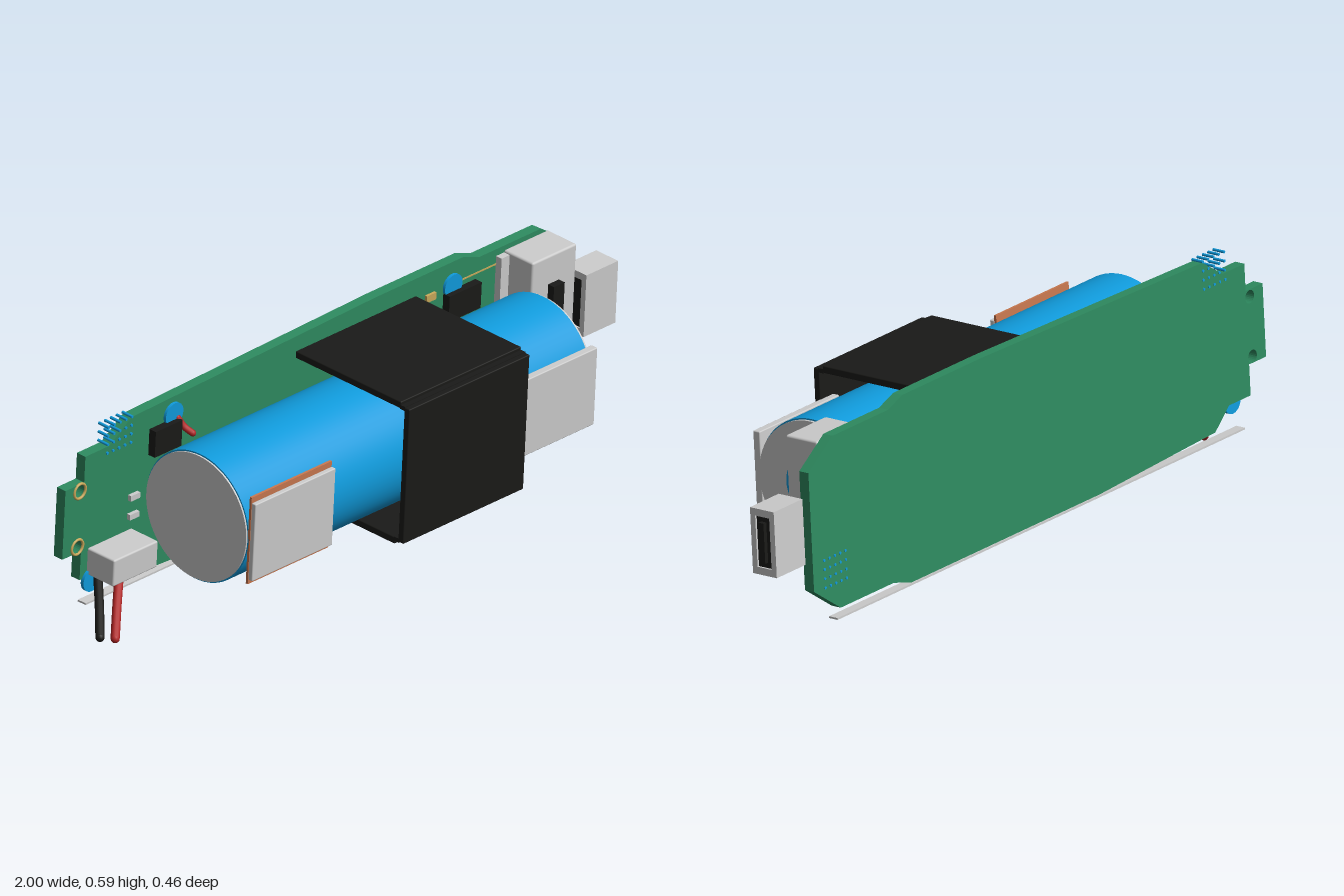
import * as THREE from 'three';
import { RoundedBoxGeometry } from 'three/addons/geometries/RoundedBoxGeometry.js';

const mat = (color) => new THREE.MeshStandardMaterial({ color });
const GREY = mat(0xcccccc), GREEN = mat(0x2e8b60), BLUE = mat(0x109bdc), BLACK = mat(0x1a1a18);
const RED = mat(0xb02525), COPPER = mat(0xc87850), GOLD = mat(0xc8a85a);
const BOARD_FRONT = -0.185;

function add(parent, name, geometry, material, x = 0, y = 0, z = 0) {
  const mesh = new THREE.Mesh(geometry, material);
  mesh.name = name;
  mesh.position.set(x, y, z);
  parent.add(mesh);
  return mesh;
}

// Box given by its minimum and maximum corners
function box(parent, name, material, a, b, radius = 0) {
  const s = b.map((v, i) => v - a[i]);
  const c = b.map((v, i) => (v + a[i]) / 2);
  const geo = radius ? new RoundedBoxGeometry(...s, 2, radius) : new THREE.BoxGeometry(...s);
  return add(parent, name, geo, material, ...c);
}

// Cylinder whose axis runs along z
function disc(parent, name, material, r, depth, x, y, z, sides = 24) {
  const geo = new THREE.CylinderGeometry(r, r, depth, sides).rotateX(Math.PI / 2);
  return add(parent, name, geo, material, x, y, z);
}

// Round wire with closed, rounded ends
function wire(parent, name, material, r, points) {
  const pts = points.map((p) => new THREE.Vector3(...p));
  add(parent, name, new THREE.TubeGeometry(new THREE.CatmullRomCurve3(pts), 16, r, 12), material);
  for (const p of [pts[0], pts[pts.length - 1]])
    add(parent, name + 'End', new THREE.SphereGeometry(r, 12, 8), material, p.x, p.y, p.z);
}

function makeBoard(parent) {
  // Circuit board outline with stepped left end and chamfered right end
  const outline = [
    [-1, -0.095], [-0.93, -0.095], [-0.93, -0.18], [-0.84, -0.18], [-0.78, -0.235], [-0.3, -0.256],
    [0.48, -0.256], [0.55, -0.235], [0.77, -0.235], [0.875, -0.16], [0.875, 0.165], [0.77, 0.235],
    [0.54, 0.235], [0.48, 0.257], [0.15, 0.257], [-0.76, 0.235], [-0.84, 0.18], [-0.93, 0.18],
    [-0.93, 0.105], [-1, 0.105],
  ];
  const shape = new THREE.Shape(outline.map((p) => new THREE.Vector2(...p)));
  for (const y of [0.085, -0.078]) {
    // Mounting holes with plated rims
    shape.holes.push(new THREE.Path().absarc(-0.945, y, 0.018, 0, Math.PI * 2, true));
    add(parent, 'mountingRim', new THREE.TorusGeometry(0.021, 0.004, 8, 24), GOLD, -0.945, y, BOARD_FRONT);
  }
  const geo = new THREE.ExtrudeGeometry(shape, { depth: 0.03, bevelEnabled: false, curveSegments: 12 });
  add(parent, 'circuitBoard', geo, GREEN, 0, 0, -0.215);

  // Thin strip along the lower edge
  box(parent, 'edgeStrip', GREY, [-0.9, -0.264, -0.215], [0.785, -0.259, -0.187]);

  // Pin grids
  for (const [cx, cy] of [[-0.805, 0.2], [0.785, -0.125]])
    for (let i = 0; i < 5; i++)
      for (let j = 0; j < 4; j++)
        disc(parent, 'pin', BLUE, 0.004, 0.036, cx + (i - 2) * 0.022, cy + (j - 1.5) * 0.025, -0.199, 8);

  // Solder pads
  for (const [x, y] of [[-0.605, 0.19], [0.44, 0.19], [-0.89, -0.19], [-0.79, -0.195]])
    disc(parent, 'solderPad', BLUE, 0.033, 0.01, x, y, BOARD_FRONT + 0.003);

  // Small surface-mounted parts
  for (const y of [0.0, -0.055])
    box(parent, 'resistor', GREY, [-0.76, y - 0.008, -0.187], [-0.725, y + 0.008, -0.174]);
  box(parent, 'resistor', GOLD, [0.34, 0.175, -0.187], [0.375, 0.195, -0.177]);
  box(parent, 'resistor', GOLD, [-0.105, -0.238, -0.187], [-0.06, -0.218, -0.177]);
  box(parent, 'trace', GOLD, [0.47, 0.19, -0.187], [0.63, 0.194, -0.183]);
  for (let i = 0; i < 5; i++)
    box(parent, 'portPad', GOLD, [0.845, -0.06 + i * 0.03 - 0.004, -0.187], [0.875, -0.06 + i * 0.03 + 0.004, -0.181]);

  // Chips behind the cell
  box(parent, 'chip', BLACK, [-0.69, 0.1, -0.187], [-0.59, 0.175, -0.162]);
  box(parent, 'chip', BLACK, [0.41, 0.1, -0.187], [0.53, 0.175, -0.162]);
  box(parent, 'chip', BLACK, [0.41, -0.155, -0.187], [0.53, -0.09, -0.16]);
  box(parent, 'chipPad', GOLD, [0.53, -0.15, -0.187], [0.545, -0.13, -0.174]);
}

function makeConnectors(parent) {
  // Slide switch
  box(parent, 'switchBody', GREY, [0.635, -0.04, -0.187], [0.8, 0.222, -0.083], 0.006);
  box(parent, 'switchFoot', GREY, [0.605, -0.05, -0.187], [0.635, 0.215, -0.165]);
  box(parent, 'switchKnob', BLACK, [0.697, 0.035, -0.085], [0.737, 0.14, -0.062]);

  // Wire socket
  box(parent, 'wireSocket', GREY, [-0.905, -0.172, -0.187], [-0.74, -0.095, -0.09], 0.005);

  // Charging port: hollow shell with a dark insert
  const shell = new THREE.Shape([[-0.039, -0.09], [0.039, -0.09], [0.039, 0.09], [-0.039, 0.09]]
    .map((p) => new THREE.Vector2(...p)));
  shell.holes.push(new THREE.Path([[-0.023, -0.07], [-0.023, 0.07], [0.023, 0.07], [0.023, -0.07]]
    .map((p) => new THREE.Vector2(...p))));
  const geo = new THREE.ExtrudeGeometry(shell, { depth: 0.119, bevelEnabled: false }).rotateY(Math.PI / 2);
  add(parent, 'chargingPort', geo, GREY, 0.875, 0, -0.152);
  box(parent, 'portInsert', BLACK, [0.88, -0.07, -0.175], [0.988, 0.07, -0.129]);
  box(parent, 'portTongue', BLACK, [0.98, -0.055, -0.16], [1, 0.055, -0.144]);
}

function makeCell(parent) {
  const cell = new THREE.Group();
  cell.name = 'batteryCell';
  cell.position.z = 0.005;
  parent.add(cell);
  const rod = (name, material, r, x0, x1) =>
    add(cell, name, new THREE.CylinderGeometry(r, r, x1 - x0, 64).rotateZ(Math.PI / 2), material, (x0 + x1) / 2);
  rod('cellCore', GREY, 0.177, -0.705, 0.59);
  rod('cellSleeve', BLUE, 0.181, -0.7, 0.582);
  rod('cellTerminal', BLUE, 0.083, 0.585, 0.597);

  // Pads on the front of the cell
  box(parent, 'copperTab', COPPER, [-0.7, -0.125, 0.183], [-0.4, 0.127, 0.19]);
  box(parent, 'leftPad', GREY, [-0.7, -0.112, 0.19], [-0.4, 0.112, 0.205], 0.003);
  box(parent, 'rightPad', GREY, [0.25, -0.112, 0.183], [0.58, 0.112, 0.205], 0.003);
}

function makeStrap(parent) {
  // Three-sided strap holding the cell against the board
  const x0 = -0.145, x1 = 0.305;
  box(parent, 'strapFront', BLACK, [x0, -0.196, 0.201], [x1, 0.196, 0.22], 0.003);
  for (const s of [1, -1])
    box(parent, 'strapSide', BLACK, [x0, s * 0.197 - 0.01, -0.185], [x1, s * 0.197 + 0.01, 0.189], 0.003);
  for (const s of [1, -1])
    box(parent, 'strapCorner', BLACK, [x0, s * 0.192 - 0.006, 0.186], [x1, s * 0.192 + 0.006, 0.204]);
}

export function createModel() {
  const model = new THREE.Group();
  model.name = 'batteryBoard';

  // The whole assembly leans slightly forward
  const assembly = new THREE.Group();
  assembly.name = 'assembly';
  assembly.position.y = 0.32;
  assembly.rotation.x = 0.058;
  model.add(assembly);
  makeBoard(assembly);
  makeConnectors(assembly);
  makeCell(assembly);
  makeStrap(assembly);

  // Loose wires
  wire(model, 'blackWire', BLACK, 0.012, [[-0.87, 0.148, -0.187], [-0.93, 0.1, -0.125], [-0.99, 0.052, -0.066]]);
  wire(model, 'redWire', RED, 0.012, [[-0.785, 0.135, -0.19], [-0.85, 0.073, -0.138], [-0.91, 0.013, -0.088]]);
  wire(model, 'cellWire', RED, 0.009, [[-0.38, 0.16, -0.075], [-0.28, 0.138, -0.058], [-0.18, 0.118, -0.054]]);
  wire(model, 'chipWire', RED, 0.009, [[-0.59, 0.505, -0.17], [-0.58, 0.48, -0.155], [-0.57, 0.465, -0.135]]);
  return model;
}
